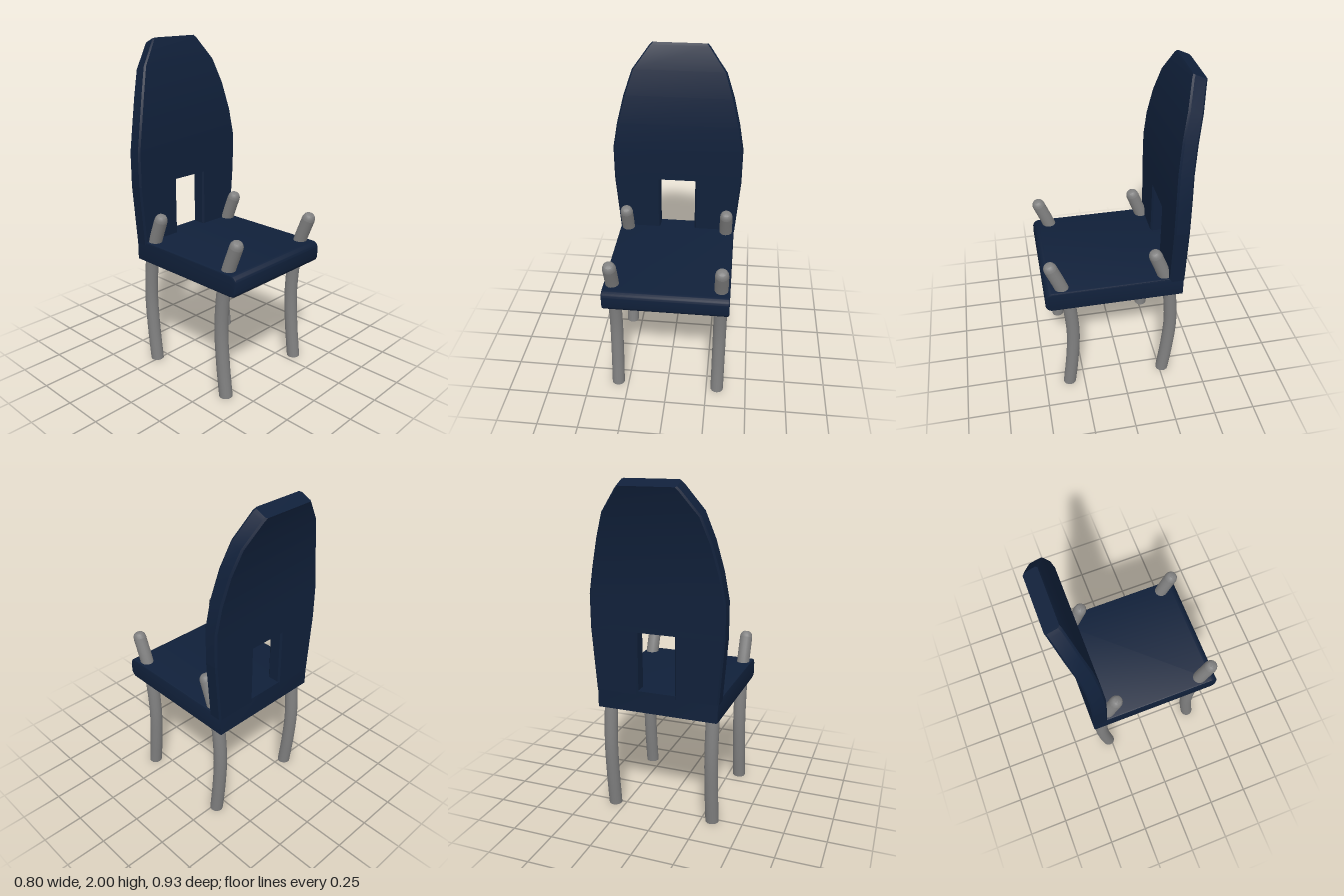
import * as THREE from 'three';
import { toCreasedNormals } from 'three/addons/utils/BufferGeometryUtils.js';

const navy = new THREE.MeshStandardMaterial({ color: 0x10203a });
const grey = new THREE.MeshStandardMaterial({ color: 0x808080 });

function addMesh(parent, geometry, material, name) {
  const mesh = new THREE.Mesh(geometry, material);
  mesh.name = name;
  parent.add(mesh);
  return mesh;
}

// Upright slab lofted through rows [x0, x1, frontY, frontZ, backY, backZ], edges chamfered
function slab(rows) {
  const c = 0.01, k = 0.12;
  const positions = [], index = [], n = 8;
  for (const [x0, x1, fy, fz, by, bz] of rows) {
    const ring = [[x0 + c, 0], [x1 - c, 0], [x1, k], [x1, 1 - k], [x1 - c, 1], [x0 + c, 1], [x0, 1 - k], [x0, k]];
    for (const [x, t] of ring) positions.push(x, fy + (by - fy) * t, fz + (bz - fz) * t);
  }
  for (let r = 0; r < rows.length - 1; r++) {
    for (let i = 0; i < n; i++) {
      const a = r * n + i, b = r * n + (i + 1) % n;
      index.push(a, b, b + n, a, b + n, a + n);
    }
  }
  const top = (rows.length - 1) * n;
  for (let i = 1; i < n - 1; i++) {
    index.push(0, i + 1, i, top, top + i, top + i + 1);
  }
  const g = new THREE.BufferGeometry();
  g.setAttribute('position', new THREE.Float32BufferAttribute(positions, 3));
  g.setIndex(index);
  return toCreasedNormals(g, 0.5);
}

// Seat: side profile with rounded front edge, extruded across the width
function seatGeometry() {
  const b = 0.01, z0 = -0.36 + b, z1 = 0.465 - b, y0 = 0.68 + b, y1 = 0.81 - b, r = 0.03;
  const s = new THREE.Shape();
  s.moveTo(z0, y0);
  s.lineTo(z1 - r, y0);
  s.absarc(z1 - r, y0 + r, r, -Math.PI / 2, 0);
  s.absarc(z1 - r, y1 - r, r, 0, Math.PI / 2);
  s.lineTo(z0, y1);
  s.closePath();
  const depth = 0.74 - 2 * b;
  const g = new THREE.ExtrudeGeometry(s, { depth, bevelSize: b, bevelThickness: b, bevelSegments: 2, curveSegments: 5 });
  g.translate(0, 0, -depth / 2);
  g.rotateY(-Math.PI / 2);
  return toCreasedNormals(g, 0.6);
}

// Curved round leg with a flat foot and a domed tip above the seat
function leg(name, x, dz) {
  const group = new THREE.Group();
  group.name = name;
  const r = 0.04, sides = 16;
  const path = [[0, 0.345], [0.2, 0.322], [0.42, 0.308], [0.6, 0.318], [0.7, 0.332], [0.82, 0.367], [0.958, 0.42]];
  const curve = new THREE.CatmullRomCurve3(path.map(([y, z]) => new THREE.Vector3(0, y, z)));
  const tube = new THREE.TubeGeometry(curve, 28, r, sides);
  for (let i = 0; i <= sides; i++) tube.attributes.position.setY(i, 0);
  addMesh(group, tube, grey, 'shaft');
  const foot = addMesh(group, new THREE.CircleGeometry(r, sides), grey, 'foot');
  foot.rotation.x = Math.PI / 2;
  foot.position.z = 0.345;
  const dome = [[r, 0], [0.038, 0.012], [0.034, 0.023], [0.026, 0.033], [0.015, 0.038], [0, 0.038]];
  const tip = addMesh(group, toCreasedNormals(new THREE.LatheGeometry(dome.map(p => new THREE.Vector2(...p)), sides), 0.5), grey, 'tip');
  tip.position.copy(curve.getPoint(1));
  tip.quaternion.setFromUnitVectors(new THREE.Vector3(0, 1, 0), curve.getTangent(1));
  group.position.set(x, 0, dz);
  return group;
}

export function createModel() {
  const chair = new THREE.Group();
  chair.name = 'chair';
  addMesh(chair, seatGeometry(), navy, 'seat');

  // Backrest: two posts beside the opening, then a panel that tapers and leans back
  const back = new THREE.Group();
  back.name = 'backrest';
  chair.add(back);
  const f = -0.272, b = -0.362, holeTop = 1.16, inner = 0.112;
  addMesh(back, slab([[inner, 0.372, 0.79, f, 0.79, b], [inner, 0.4, holeTop, f, holeTop, b]]), navy, 'leftPost');
  addMesh(back, slab([[-0.372, -inner, 0.79, f, 0.79, b], [-0.4, -inner, holeTop, f, holeTop, b]]), navy, 'rightPost');
  const panel = [
    [0.4, holeTop, f, holeTop, b],
    [0.4, 1.37, f, 1.36, b],
    [0.372, 1.53, -0.281, 1.515, -0.37],
    [0.33, 1.70, -0.304, 1.68, -0.392],
    [0.28, 1.85, -0.338, 1.82, -0.422],
    [0.18, 1.985, -0.379, 1.95, -0.46],
    [0.165, 2.0, -0.388, 1.965, -0.466],
  ];
  addMesh(back, slab(panel.map(([w, ...rest]) => [-w, w, ...rest])), navy, 'panel');

  // Four matching legs
  for (const [side, x] of [['Left', 0.318], ['Right', -0.318]]) {
    chair.add(leg('front' + side + 'Leg', x, 0), leg('back' + side + 'Leg', x, -0.613));
  }
  return chair;
}
